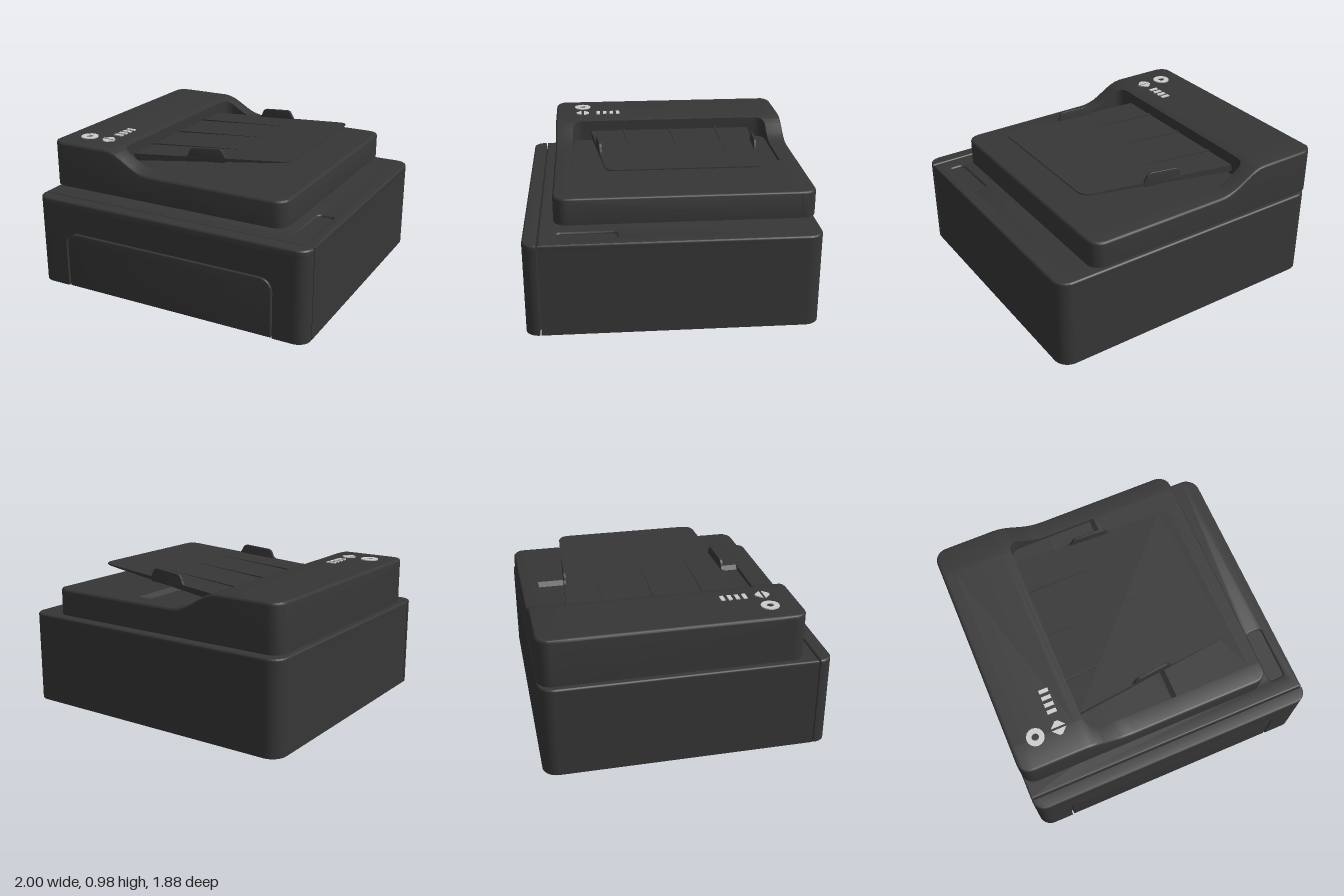
import * as THREE from 'three';
import { toCreasedNormals } from 'three/addons/utils/BufferGeometryUtils.js';

const shell = new THREE.MeshStandardMaterial({ color: 0x363636 });
shell.name = 'charcoal plastic';
const light = new THREE.MeshStandardMaterial({ color: 0xcccccc });
light.name = 'light grey buttons';

// Rounded rectangle; radii run bottom-left, bottom-right, top-right, top-left
function roundRect(x0, y0, x1, y1, [a, b, c, d], S = THREE.Shape) {
  const s = new S(), q = Math.PI / 2;
  const corner = (x, y, r, t) => (r ? s.absarc(x, y, r, t, t + q, false) : s.lineTo(x, y));
  s.moveTo(x0, y0 + a);
  corner(x0 + a, y0 + a, a, 2 * q);
  corner(x1 - b, y0 + b, b, 3 * q);
  corner(x1 - c, y1 - c, c, 0);
  corner(x0 + d, y1 - d, d, q);
  s.closePath();
  return s;
}

// Extrude along z from z0 to z1, with an inward bevel
function extrude(shape, z0, z1, bevel = 0) {
  const g = new THREE.ExtrudeGeometry(shape, {
    depth: z1 - z0 - 2 * bevel, curveSegments: 8, bevelEnabled: bevel > 0,
    bevelSize: bevel, bevelThickness: bevel, bevelOffset: -bevel, bevelSegments: 3,
  });
  return g.translate(0, 0, z0 + bevel);
}

// Plan shape (x, -z) raised from y0 to y1
const slab = (shape, y0, y1, bevel) => extrude(shape, y0, y1, bevel).rotateX(-Math.PI / 2);

// Lid: cross-sections lofted along x, with the sheet recess cut into the top
function lidGeometry() {
  const x0 = -1, x1 = 0.76, cz = -0.095, half = 0.845, r = 0.09, b = 0.018, y0 = 0.645;
  const step = [[-0.56, 0.955], [-0.52, 0.949], [-0.48, 0.935], [-0.44, 0.914], [-0.36, 0.866],
    [-0.32, 0.846], [-0.28, 0.832], [-0.24, 0.824], [-0.2, 0.822]];
  const lerp = THREE.MathUtils.lerp;
  const height = (x) => {
    if (x <= step[0][0]) return step[0][1];
    for (let i = 1; i < step.length; i++) {
      const [px, py] = step[i - 1], [qx, qy] = step[i];
      if (x <= qx) return lerp(py, qy, (x - px) / (qx - px));
    }
    return 0.822;
  };
  const round = (d, rad) => (d >= rad ? rad : Math.sqrt(rad * rad - (rad - d) ** 2));
  const stations = [];
  const ends = [0, 0.001, 0.003, 0.006, 0.01, 0.018, 0.03, 0.045, 0.065, 0.09];
  ends.forEach((d) => stations.push([x0 + d, false], [x1 - d, false]));
  step.forEach(([x]) => stations.push([x, x > -0.5]));
  stations.push([-0.5, false]);
  [0, 0.003, 0.01, 0.03, 0.05, 0.07].forEach((d) => stations.push([-0.4999 + d, true]));
  stations.push([0.11, true], [0.14, true], [0.141, false]);
  stations.sort((p, q) => p[0] - q[0]);

  const rings = stations.map(([x, cut]) => {
    const d = Math.max(0, Math.min(x - x0, x1 - x));
    const hw = half - r + round(d, r), h = height(x), rise = round(d, b);
    const nw = 0.65 + round(Math.max(0, x + 0.4999), 0.07);
    const top = h - b + rise;
    const floor = cut ? lerp(0.795, top, THREE.MathUtils.clamp((x - 0.11) / 0.03, 0, 1)) : top;
    const edge = [[hw, y0]];
    for (let k = 0; k <= 4; k++) {
      const t = (k / 4) * Math.PI / 2;
      edge.push([hw - b + b * Math.cos(t), h - b + rise * Math.sin(t)]);
    }
    edge.push([nw, top], [nw, floor]);
    const left = edge.map(([z, y]) => [x, y, cz - z]);
    const right = edge.map(([z, y]) => [x, y, cz + z]).reverse();
    return [...left, ...right];
  });
  const n = rings[0].length, index = [];
  for (let i = 0; i < rings.length - 1; i++) {
    for (let j = 0; j < n; j++) {
      const k = (j + 1) % n, p = i * n, q = p + n;
      index.push(p + j, p + k, q + k, p + j, q + k, q + j);
    }
  }
  const last = (rings.length - 1) * n;
  for (let k = 1; k < n - 1; k++) index.push(0, k + 1, k, last, last + k, last + k + 1);
  const g = new THREE.BufferGeometry();
  g.setAttribute('position', new THREE.Float32BufferAttribute(rings.flat(2), 3));
  g.setIndex(index);
  return g.toNonIndexed();
}

// Upper surface of the sloping paper tray
const trayTop = (x) => 0.866 + 0.081 * (x + 0.5);

// Move each vertex by a rule
function warp(g, rule) {
  const p = g.attributes.position, v = new THREE.Vector3();
  for (let i = 0; i < p.count; i++) {
    rule(v.fromBufferAttribute(p, i));
    p.setXYZ(i, v.x, v.y, v.z);
  }
  return g;
}

export function createModel() {
  const model = new THREE.Group();
  const add = (name, geometry, material = shell) => {
    const src = geometry.index ? geometry.toNonIndexed() : geometry;
    const mesh = new THREE.Mesh(toCreasedNormals(src, 0.55), material);
    mesh.name = name;
    model.add(mesh);
    return mesh;
  };

  // Main body, with a shallow finger pocket in its top
  const bodyPlan = () => roundRect(-1, -0.842, 1, 0.94, [0, 0, 0.1, 0.1]);
  add('bodyLower', slab(bodyPlan(), 0, 0.605));
  const cap = bodyPlan();
  cap.holes.push(roundRect(0.815, -0.73, 0.925, -0.35, [0.03, 0.03, 0.03, 0.03], THREE.Path));
  add('bodyTop', slab(cap, 0.575, 0.62, 0.012));

  // Front panel: top rail, rounded ends, and the face around the drawer
  add('frontRail', slab(roundRect(-1, -0.94, 1, -0.85, [0.085, 0.085, 0, 0]), 0.55, 0.62, 0.012));
  add('frontEndLeft', slab(roundRect(0.9, -0.94, 1, -0.85, [0, 0.085, 0, 0]), 0, 0.57));
  add('frontEndRight', slab(roundRect(-1, -0.94, -0.9, -0.85, [0.085, 0, 0, 0]), 0, 0.57));
  const face = new THREE.Shape();
  face.moveTo(-0.9, 0);
  face.lineTo(-0.775, 0);
  face.lineTo(-0.775, 0.312);
  face.absarc(-0.685, 0.312, 0.09, Math.PI, Math.PI / 2, true);
  face.absarc(0.685, 0.312, 0.09, Math.PI / 2, 0, true);
  face.lineTo(0.775, 0);
  face.lineTo(0.9, 0);
  face.lineTo(0.9, 0.57);
  face.lineTo(-0.9, 0.57);
  add('frontFace', extrude(face, 0.85, 0.94));

  // Drawer front and the back of the groove around it
  add('drawerFront', extrude(roundRect(-0.764, 0, 0.764, 0.391, [0, 0, 0.08, 0.08]), 0.86, 0.938, 0.006));
  add('drawerBack', new THREE.BoxGeometry(1.56, 0.42, 0.06).translate(0, 0.21, 0.88));

  // Scanner lid
  add('lid', lidGeometry());

  // Sloping paper tray, thinning toward its free end
  const plan = new THREE.Shape();
  plan.moveTo(-0.499, -0.49);
  plan.lineTo(0.55, -0.41);
  plan.quadraticCurveTo(0.625, -0.405, 0.625, -0.33);
  plan.lineTo(0.625, 0.53);
  plan.quadraticCurveTo(0.625, 0.605, 0.55, 0.61);
  plan.lineTo(-0.499, 0.69);
  add('paperTray', warp(slab(plan, 0, 1), (v) => {
    const thickness = 0.048 - 0.036 * (v.x + 0.5);
    v.y = trayTop(v.x) - (1 - v.y) * thickness;
  }));

  // Tapering ribs on the tray
  for (const [za, zb] of [[-0.445, -0.418], [-0.1, -0.1], [0.245, 0.218]]) {
    add('trayRib', warp(new THREE.BoxGeometry(1, 1, 1), (v) => {
      const t = v.x + 0.5, up = v.y > 0;
      v.x = -0.499 + 0.7 * t;
      v.z = za + (zb - za) * t + v.z * (0.018 - 0.014 * t);
      v.y = trayTop(v.x) + (up ? 0.008 * (1 - t) + 0.001 : -0.005);
    }));
  }

  // Paper guides along both tray edges
  const guide = new THREE.Shape();
  guide.moveTo(-0.145, -0.03);
  guide.lineTo(-0.145, 0.0);
  guide.quadraticCurveTo(-0.125, 0.01, -0.12, 0.035);
  guide.quadraticCurveTo(-0.11, 0.063, -0.08, 0.066);
  guide.lineTo(0.09, 0.08);
  guide.quadraticCurveTo(0.115, 0.08, 0.125, 0.06);
  guide.lineTo(0.145, 0.025);
  guide.lineTo(0.145, -0.01);
  for (const side of [-1, 1]) {
    const g = add('paperGuide', extrude(guide, -0.009, 0.009, 0.003));
    g.position.set(0.035, 0.9, -0.1 + side * 0.541);
    g.rotation.y = side * 0.076;
  }

  // Power ring, arrow keys and indicator bars
  const by = 0.953, ty = 0.962;
  const ring = new THREE.Shape().absarc(-0.825, -0.55, 0.06, 0, Math.PI * 2);
  ring.holes.push(new THREE.Path().absarc(-0.825, -0.55, 0.024, 0, Math.PI * 2));
  add('powerRing', slab(ring, by, ty), light);
  for (const s of [-1, 1]) {
    const arrow = new THREE.Shape([[-0.05, 0.008], [0.05, 0.008], [0.01, 0.048], [-0.01, 0.048]]
      .map(([x, y]) => new THREE.Vector2(-0.665 + x, -0.55 + s * y)));
    add('arrowKey', slab(arrow, by, ty), light);
  }
  for (let i = 0; i < 4; i++) {
    add('indicatorBar', new THREE.BoxGeometry(0.064, ty - by, 0.026)
      .translate(-0.665, (by + ty) / 2, 0.284 + i * 0.049), light);
  }
  return model;
}
